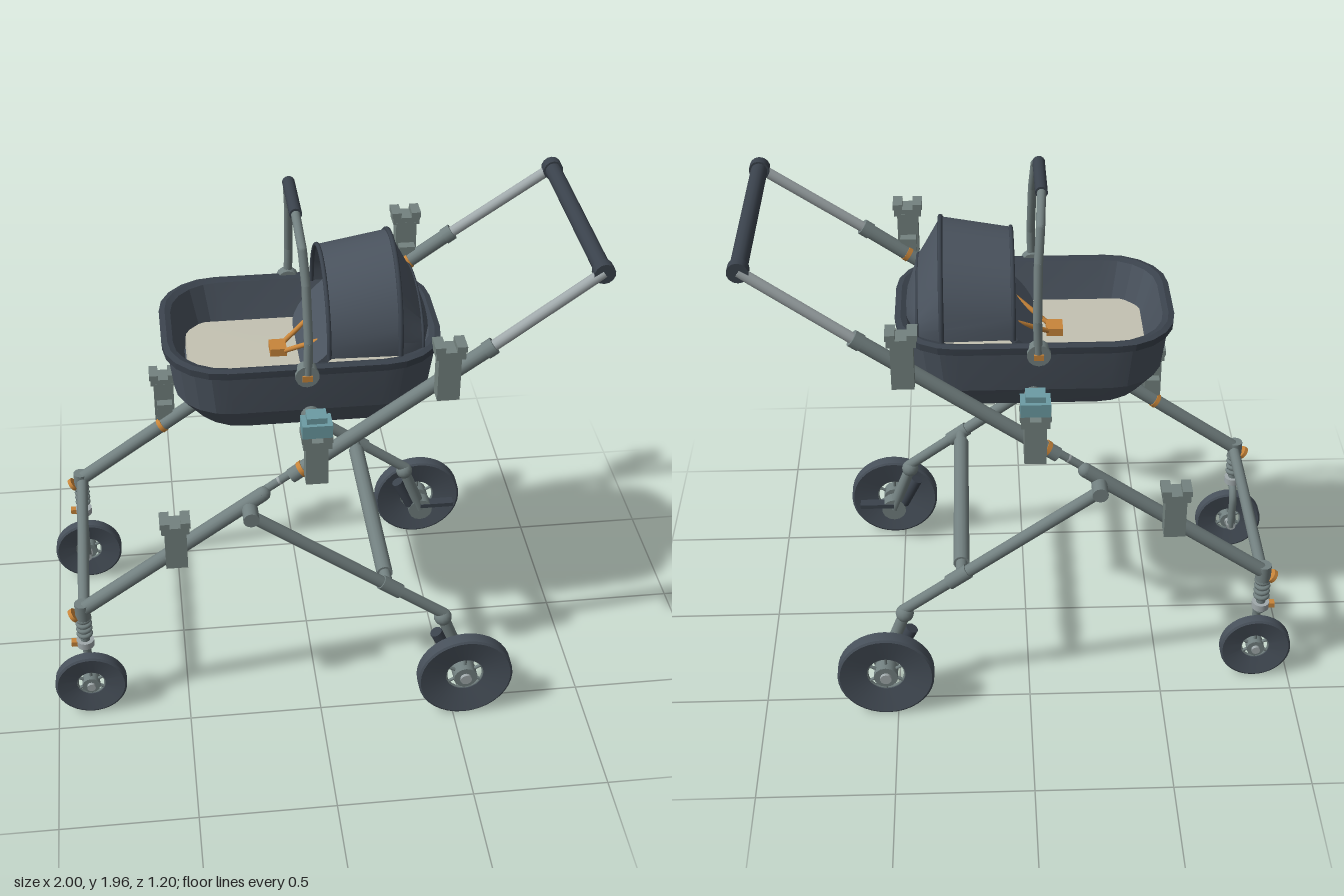
import * as THREE from 'three';
import { toCreasedNormals } from 'three/addons/utils/BufferGeometryUtils.js';

const mat = (name, color, extra = {}) => {
  const m = new THREE.MeshStandardMaterial({ color, ...extra });
  m.name = name;
  return m;
};
const M = {
  frame: mat('frame grey', 0x728080),
  light: mat('light metal', 0xa0a9ab),
  mount: mat('mount grey', 0x74827f),
  fabric: mat('slate fabric', 0x4a535e, { side: THREE.DoubleSide }),
  dark: mat('dark trim', 0x3a424c),
  tyre: mat('tyre', 0x47505a),
  cream: mat('cream mattress', 0xc4c2b2),
  orange: mat('orange accent', 0xc8853a),
  teal: mat('teal latch', 0x6c9ca4),
};
const V = (x, y, z) => new THREE.Vector3(x, y, z);

export function createModel() {
  const root = new THREE.Group();
  root.name = 'pram';

  const add = (name, geo, material, pos, parent = root) => {
    const m = new THREE.Mesh(geo, material);
    m.name = name;
    if (pos) m.position.copy(pos);
    parent.add(m);
    return m;
  };
  const box = (name, w, h, d, material, pos) => add(name, new THREE.BoxGeometry(w, h, d), material, pos);
  // Cylinder between two points
  const rod = (name, a, b, r, material, r2 = r, parent = root) => {
    const dir = b.clone().sub(a);
    const m = add(name, new THREE.CylinderGeometry(r2, r, dir.length(), 14), material, a.clone().lerp(b, 0.5), parent);
    m.quaternion.setFromUnitVectors(V(0, 1, 0), dir.normalize());
    return m;
  };
  const tube = (name, pts, r, material) =>
    add(name, new THREE.TubeGeometry(new THREE.CatmullRomCurve3(pts, false, 'centripetal'), 28, r, 10), material);
  // Skin joining a list of equal-length rings
  const loft = (rings, closed, crease) => {
    const n = rings[0].length, pos = [], idx = [];
    rings.forEach(r => r.forEach(p => pos.push(p.x, p.y, p.z)));
    for (let k = 0; k < rings.length - 1; k++)
      for (let i = 0; i < (closed ? n : n - 1); i++) {
        const a = k * n + i, b = k * n + (i + 1) % n;
        idx.push(a, b, b + n, a, b + n, a + n);
      }
    const g = new THREE.BufferGeometry();
    g.setAttribute('position', new THREE.Float32BufferAttribute(pos, 3));
    g.setIndex(idx);
    g.computeVertexNormals();
    return toCreasedNormals(g, crease);
  };
  // Rounded rectangle ring at height y
  const ring = (y, x0, x1, hz, r) => {
    const pts = [], cx = (x0 + x1) / 2, hx = (x1 - x0) / 2;
    [[1, 1], [-1, 1], [-1, -1], [1, -1]].forEach(([sx, sz], q) => {
      for (let i = 0; i <= 5; i++) {
        const a = (q + i / 5) * Math.PI / 2;
        pts.push(V(cx + sx * (hx - r) + r * Math.cos(a), y, -(sz * (hz - r) + r * Math.sin(a))));
      }
    });
    return pts;
  };

  // Bassinet shell, rim, lining and mattress
  add('bassinetShell', loft([
    ring(1.17, -0.03, -0.028, 0.001, 0.0005), ring(1.165, -0.41, 0.35, 0.23, 0.17),
    ring(1.175, -0.425, 0.37, 0.25, 0.18), ring(1.26, -0.488, 0.432, 0.295, 0.2),
    ring(1.44, -0.51, 0.455, 0.317, 0.21),
  ], true, 0.2), M.fabric);
  add('bassinetRim', loft([
    ring(1.425, -0.508, 0.452, 0.313, 0.21), ring(1.425, -0.524, 0.466, 0.327, 0.22),
    ring(1.452, -0.526, 0.468, 0.329, 0.22), ring(1.458, -0.505, 0.447, 0.31, 0.2),
    ring(1.45, -0.485, 0.427, 0.29, 0.19),
  ], true, 0.3), M.dark);
  add('bassinetLining', loft([
    ring(1.45, -0.485, 0.427, 0.29, 0.19), ring(1.29, -0.44, 0.38, 0.25, 0.16),
    ring(1.285, -0.03, -0.028, 0.001, 0.0005),
  ], true, 0.3), M.fabric);
  add('mattress', loft([
    ring(1.29, -0.435, 0.37, 0.238, 0.08), ring(1.315, -0.43, 0.365, 0.236, 0.08),
    ring(1.318, -0.03, -0.028, 0.001, 0.0005),
  ], true, 0.3), M.cream);

  // Hood, lofted from half-ellipse arches
  const arch = (x, hz, top, base = 1.45) => {
    const pts = [];
    for (let i = 0; i <= 20; i++) {
      const a = Math.PI * i / 20;
      pts.push(V(x, base + (top - base) * Math.sin(a), hz * Math.cos(a)));
    }
    return pts;
  };
  add('hood', loft([
    arch(0.05, 0.27, 1.715), arch(0.3, 0.278, 1.765), arch(0.385, 0.24, 1.6),
    arch(0.425, 0.1, 1.49), arch(0.43, 0.002, 1.452),
  ], false, 0.5), M.fabric);
  tube('hoodFrontTrim', arch(0.05, 0.27, 1.715), 0.008, M.dark);
  tube('hoodRearTrim', arch(0.3, 0.278, 1.765), 0.009, M.dark);
  tube('hoodBackSeam', arch(0.385, 0.24, 1.6), 0.006, M.dark);

  // Sloping backrest with harness
  const back = add('backrest', new THREE.ExtrudeGeometry(
    new THREE.Shape(ring(0, 0, 0.36, 0.225, 0.1).map(p => new THREE.Vector2(p.x, p.z)).reverse()),
    { depth: 0.025, bevelEnabled: false }), M.fabric, V(-0.02, 1.335, 0));
  back.rotation.set(-Math.PI / 2, -0.8, 0, 'ZYX');
  back.rotation.set(-Math.PI / 2, 0, 0);
  back.rotateY(-0.8);
  box('buckle', 0.06, 0.03, 0.07, M.orange, V(-0.105, 1.335, 0));
  for (const s of [1, -1]) {
    rod('harnessStrap', V(-0.08, 1.34, s * 0.03), V(0.05, 1.425, s * 0.1), 0.009, M.orange);
  }

  // Carry handle arch
  const half = [[1.43, 0.335, -0.033], [1.56, 0.33, -0.03], [1.76, 0.285, -0.034], [1.875, 0.245, -0.042], [1.94, 0.12, -0.05]];
  for (const s of [1, -1]) {
    half.slice(0, -1).forEach(([y, z, x], i) => {
      const [y2, z2, x2] = half[i + 1];
      rod('carryHandleArm', V(x, y, s * z), V(x2, y2, s * z2), 0.016, M.frame);
      add('carryHandleJoint', new THREE.SphereGeometry(0.016, 10, 8), M.frame, V(x2, y2, s * z2));
    });
    rod('carryHandlePivot', V(-0.035, 1.43, s * 0.305), V(-0.035, 1.43, s * 0.345), 0.042, M.frame);
    box('pivotButton', 0.035, 0.022, 0.02, M.orange, V(-0.035, 1.425, s * 0.342));
  }
  rod('carryHandleGrip', V(-0.05, 1.942, -0.12), V(-0.05, 1.942, 0.12), 0.022, M.dark);

  // Wheel: dished tyre, inner ring, spokes and hub, turning about z
  const wheel = (name, x, y, z, r, w) => {
    const g = new THREE.Group();
    g.name = name;
    g.position.set(x, y, z);
    root.add(g);
    const ri = r * 0.4, h = w / 2;
    const prof = [[ri, -0.008], [r - 0.008, -h], [r, -h + 0.005], [r, h - 0.005], [r - 0.008, h], [ri, 0.008], [ri, -0.008]];
    const t = new THREE.LatheGeometry(prof.map(p => new THREE.Vector2(...p)), 36);
    t.rotateX(Math.PI / 2);
    add('tyre', toCreasedNormals(t, 0.5), M.tyre, null, g);
    add('rimRing', new THREE.TorusGeometry(ri, 0.006, 6, 28), M.frame, null, g);
    rod('hub', V(0, 0, -h), V(0, 0, h), r * 0.25, M.frame, r * 0.25, g);
    rod('hubCap', V(0, 0, -h - 0.012), V(0, 0, h + 0.012), r * 0.12, M.light, r * 0.12, g);
    for (let i = 0; i < 6; i++) {
      const a = i * Math.PI / 3 + Math.PI / 6, c = Math.cos(a), s = Math.sin(a);
      rod('spoke', V(c * r * 0.2, s * r * 0.2, 0), V(c * ri, s * ri, 0), 0.006, M.frame, 0.006, g);
    }
  };

  const railY = x => 0.5 + (x + 0.875) * 0.712;
  // Adapter block: tapered body, flange and two prongs
  const mount = (x, y0, y1, s, top, name) => {
    const z = s * 0.463;
    box(name + 'Body', 0.078, y1 - y0 - 0.04, 0.062, M.mount, V(x, (y0 + y1 - 0.04) / 2, z));
    box(name + 'Clamp', 0.06, 0.08, 0.06, M.mount, V(x, y0 + 0.055, s * 0.425));
    box(name + 'Flange', 0.1, 0.028, 0.075, top, V(x, y1 - 0.034, z + s * 0.007));
    for (const d of [-1, 1]) box(name + 'Prong', 0.035, 0.022, 0.075, top, V(x + d * 0.037, y1 - 0.011, z + s * 0.007));
  };

  for (const s of [1, -1]) {
    const Z = s * 0.4, P = x => V(x, railY(x), Z);
    // Main sloping rail with folding link and telescopic end
    rod('lowerRail', P(-0.875), P(-0.2), 0.027, M.frame);
    add('lowerRailEnd', new THREE.SphereGeometry(0.027, 14, 10), M.frame, P(-0.2));
    rod('foldLink', V(-0.22, railY(-0.22), s * 0.385), V(-0.06, railY(-0.06), s * 0.385), 0.015, M.frame);
    add('foldPin', new THREE.SphereGeometry(0.016, 10, 8), M.light, V(-0.14, railY(-0.14), s * 0.385));
    rod('upperRail', P(-0.1), P(0.6), 0.027, M.frame);
    rod('railCollar', P(0.57), P(0.6), 0.031, M.frame);
    rod('handleTube', P(0.58), V(0.96, 1.805, s * 0.385), 0.02, M.light);
    for (const x of [-0.535, -0.06, 0.435]) rod('accentBand', P(x - 0.007), P(x + 0.007), 0.03, M.orange);
    rod('pushBarCap', V(0.96, 1.805, s * 0.36), V(0.96, 1.805, s * 0.4), 0.037, M.dark);

    // Adapter blocks along the rail
    mount(-0.52, 0.745, 0.955, s, M.mount, 'frontMount');
    mount(-0.018, 1.08, 1.285, s, M.mount, 'bassinetMount');
    mount(0.43, 1.4, 1.62, s, M.mount, 'rearMount');
    box('bassinetLatch', 0.105, 0.05, 0.075, M.teal, V(-0.018, 1.31, s * 0.47));
    box('bassinetLatchTop', 0.07, 0.025, 0.06, M.teal, V(-0.018, 1.345, s * 0.463));
    rod('bassinetSupport', V(-0.018, 1.305, s * 0.44), V(-0.018, 1.23, s * 0.28), 0.034, M.frame);

    // Rear leg with sleeve, pivot and axle carrier
    const L = t => V(-0.25 + 0.72 * t, 0.93 - 0.53 * t, s * 0.46);
    rod('rearLeg', L(0), L(0.72), 0.023, M.frame);
    rod('rearLegSleeve', L(0.66), L(0.76), 0.028, M.frame);
    rod('rearLegEnd', L(0.74), L(1), 0.021, M.frame);
    rod('legPivot', V(-0.25, 0.93, s * 0.385), V(-0.25, 0.93, s * 0.487), 0.029, M.frame);
    rod('crossTubeBracket', V(0.25, 0.56, s * 0.38), V(0.25, 0.56, s * 0.465), 0.022, M.frame);
    add('rearKnuckle', new THREE.SphereGeometry(0.034, 14, 10), M.frame, V(0.465, 0.385, s * 0.46));
    rod('rearSwingArm', V(0.465, 0.385, s * 0.462), V(0.54, 0.18, s * 0.468), 0.022, M.frame, 0.026);
    rod('rearShock', V(0.44, 0.32, s * 0.47), V(0.5, 0.2, s * 0.47), 0.024, M.dark);
    rod('axleHousing', V(0.54, 0.18, s * 0.445), V(0.54, 0.18, s * 0.495), 0.05, M.frame);
    rod('rearAxle', V(0.54, 0.18, s * 0.47), V(0.54, 0.18, s * 0.56), 0.014, M.light);
    box('brakePedal', 0.14, 0.018, 0.04, M.dark, V(0.61, 0.2, s * 0.462));
    wheel('rearWheel', 0.54, 0.18, s * 0.558, 0.18, 0.055);

    // Front caster: head, spring, collar and one-sided fork
    const X = -0.875, F = (y, z) => V(X, y, s * z);
    rod('casterHead', F(0.46, 0.4), F(0.53, 0.4), 0.029, M.frame);
    rod('casterStem', F(0.31, 0.4), F(0.47, 0.4), 0.018, M.frame);
    for (let i = 0; i < 4; i++) {
      const c = add('springCoil', new THREE.TorusGeometry(0.022, 0.009, 8, 18), M.frame, F(0.385 + i * 0.024, 0.4));
      c.rotation.x = Math.PI / 2;
    }
    rod('casterCollar', F(0.328, 0.4), F(0.355, 0.4), 0.033, M.light);
    box('casterLock', 0.03, 0.02, 0.025, M.orange, V(-0.912, 0.342, Z));
    rod('railAccent', P(-0.915), P(-0.903), 0.026, M.orange);
    tube('frontFork', [F(0.315, 0.4), F(0.31, 0.37), F(0.28, 0.348), F(0.2, 0.345), F(0.135, 0.348)], 0.016, M.frame);
    rod('frontAxle', F(0.14, 0.335), F(0.14, 0.4), 0.018, M.light);
    wheel('frontWheel', -0.868, 0.137, s * 0.402, 0.135, 0.045);
  }

  // Cross members and push bar
  rod('frontCrossTube', V(-0.87, 0.495, -0.4), V(-0.87, 0.495, 0.4), 0.022, M.frame);
  rod('rearCrossTube', V(0.25, 0.56, -0.39), V(0.25, 0.56, 0.39), 0.03, M.frame);
  rod('pushBar', V(0.96, 1.805, -0.37), V(0.96, 1.805, 0.37), 0.03, M.dark);
  return root;
}
